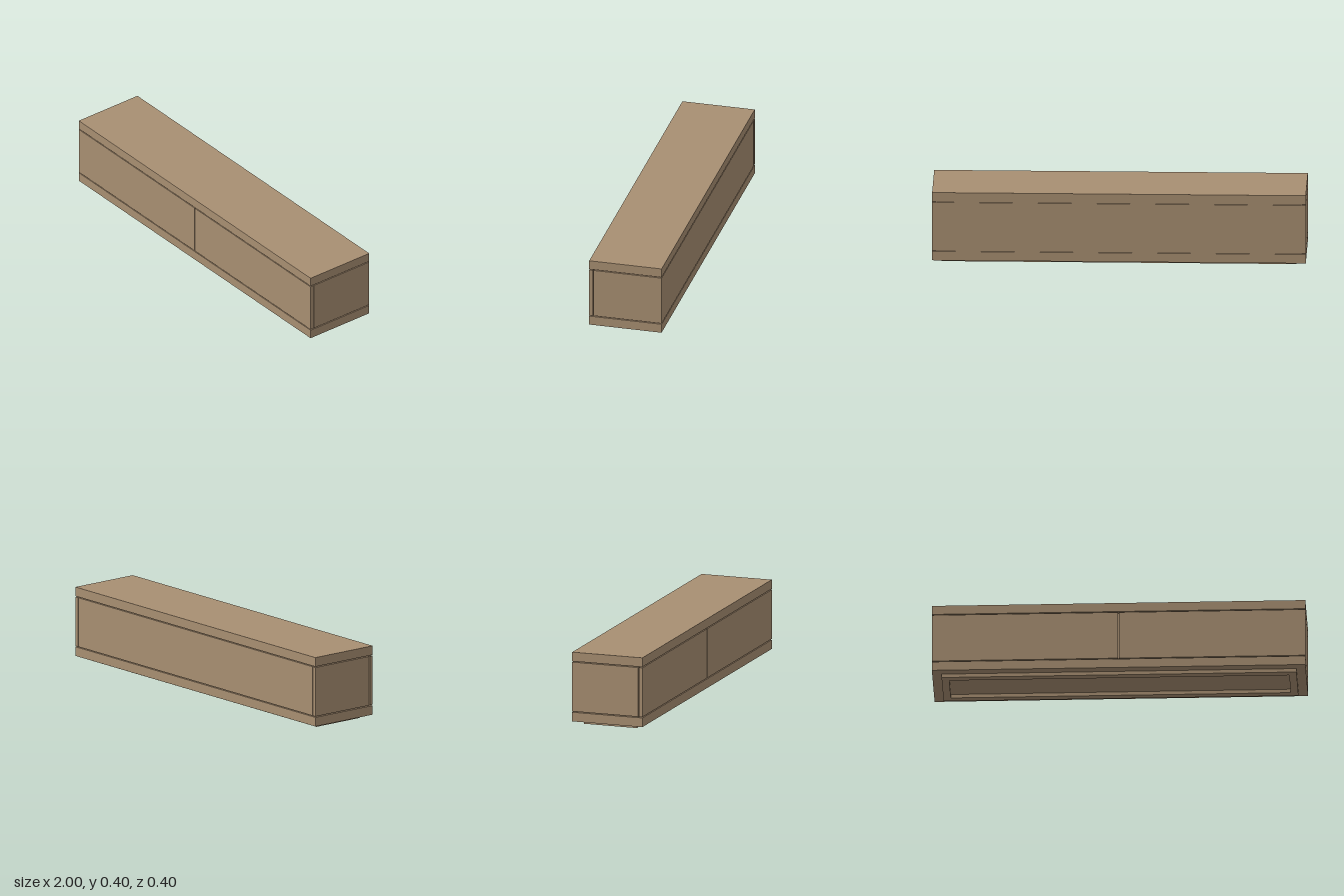
import * as THREE from 'three';

const wood = new THREE.MeshStandardMaterial({ color: 0xa88f72 });
wood.name = 'wood';

// Box given by its minimum and maximum on each axis
function board(parent, name, [x0, x1], [y0, y1], [z0, z1]) {
  const mesh = new THREE.Mesh(new THREE.BoxGeometry(x1 - x0, y1 - y0, z1 - z0), wood);
  mesh.position.set((x0 + x1) / 2, (y0 + y1) / 2, (z0 + z1) / 2);
  mesh.name = name;
  parent.add(mesh);
}

function part(parent, name) {
  const group = new THREE.Group();
  group.name = name;
  parent.add(group);
  return group;
}

// Board given by its range on the left side, repeated on the right
function pair(parent, name, [x0, x1], y, z) {
  board(parent, name + 'Left', [x0, x1], y, z);
  board(parent, name + 'Right', [-x1, -x0], y, z);
}

// Rectangular frame: full-length front and back rails, end rails between them
function frame(parent, halfX, halfZ, t, y) {
  board(parent, 'frontRail', [-halfX, halfX], y, [halfZ - t, halfZ]);
  board(parent, 'backRail', [-halfX, halfX], y, [-halfZ, t - halfZ]);
  pair(parent, 'endRail', [halfX - t, halfX], y, [t - halfZ, halfZ - t]);
}

export function createModel() {
  const model = new THREE.Group();
  model.name = 'lowCabinet';

  // Recessed plinth, open in the middle
  frame(part(model, 'plinth'), 0.95, 0.15, 0.04, [0, 0.02]);

  // Edged bottom and top slabs
  for (const [name, y] of [['bottomSlab', [0.02, 0.07]], ['topSlab', [0.35, 0.4]]]) {
    const slab = part(model, name);
    frame(slab, 1, 0.2, 0.02, y);
    board(slab, 'core', [-0.98, 0.98], y, [-0.18, 0.18]);
  }

  // Inner carcass, set back to leave shadow gaps along the slabs
  const carcass = part(model, 'carcass');
  board(carcass, 'floor', [-0.98, 0.98], [0.07, 0.08], [-0.195, 0.175]);
  board(carcass, 'ceiling', [-0.98, 0.98], [0.34, 0.35], [-0.195, 0.175]);
  board(carcass, 'innerBack', [-0.98, 0.98], [0.08, 0.34], [-0.195, -0.185]);
  board(carcass, 'divider', [-0.01, 0.01], [0.08, 0.34], [-0.185, 0.175]);
  pair(carcass, 'innerSide', [0.965, 0.98], [0.08, 0.34], [-0.185, 0.175]);

  // Outer side and back panels
  pair(model, 'sidePanel', [0.98, 1], [0.075, 0.345], [-0.2, 0.175]);
  board(model, 'backPanel', [-0.975, 0.975], [0.075, 0.345], [-0.2, -0.195]);

  // Two drawers: fronts with a narrow centre gap and open boxes behind
  const drawers = part(model, 'drawers');
  pair(drawers, 'drawerFront', [0.003, 1], [0.075, 0.345], [0.18, 0.2]);
  pair(drawers, 'drawerInnerSide', [0.025, 0.04], [0.085, 0.275], [-0.17, 0.18]);
  pair(drawers, 'drawerOuterSide', [0.94, 0.955], [0.085, 0.275], [-0.17, 0.18]);
  pair(drawers, 'drawerBase', [0.04, 0.94], [0.085, 0.095], [-0.17, 0.18]);
  pair(drawers, 'drawerBack', [0.04, 0.94], [0.095, 0.275], [-0.17, -0.155]);

  return model;
}
